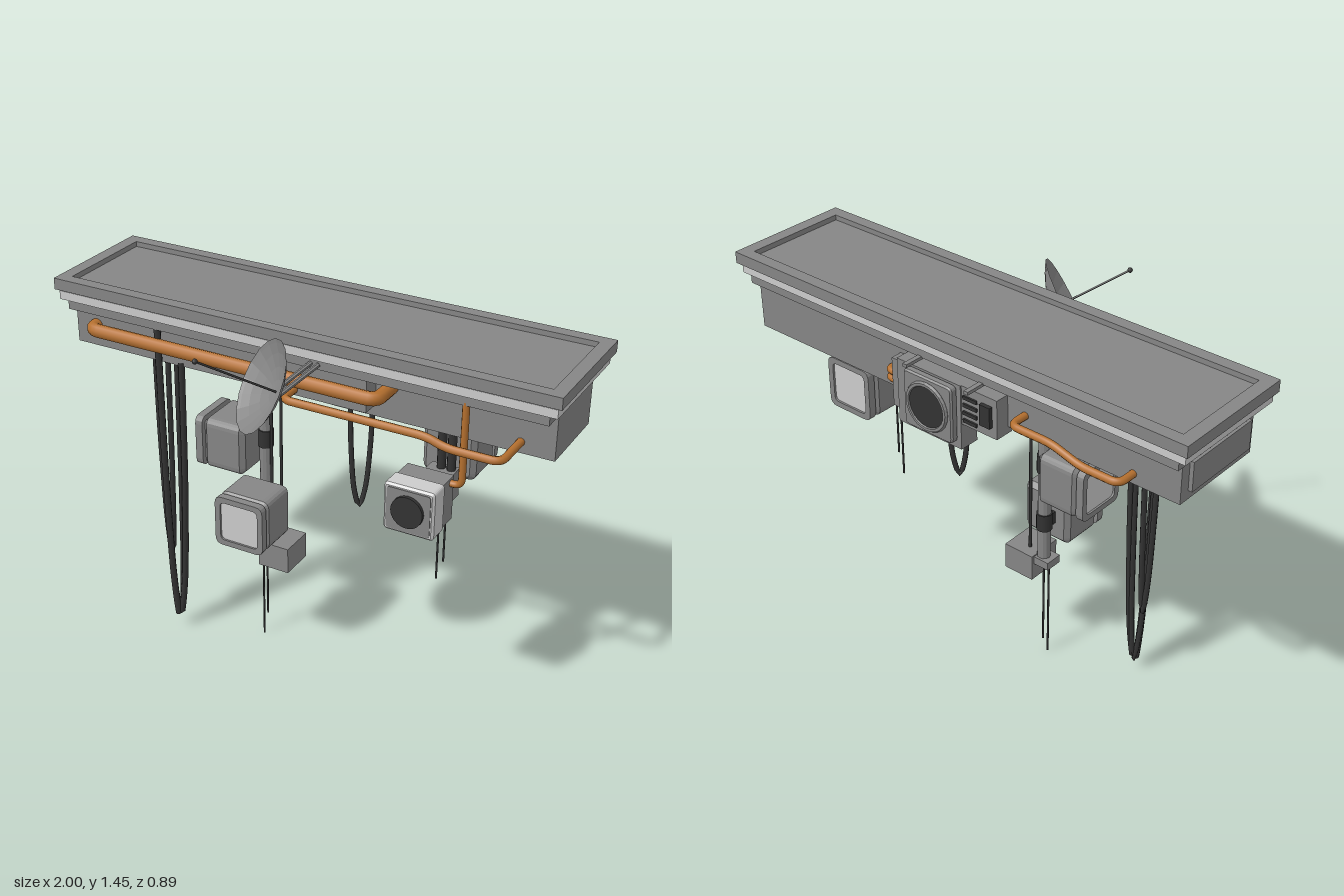
import * as THREE from 'three';

const mat = (color, flatShading = false, side = THREE.FrontSide) =>
  new THREE.MeshStandardMaterial({ color, flatShading, side });
const MID = mat(0x858585, true);
const LIGHT = mat(0xcccccc, true);
const DARK = mat(0x333333);
const COPPER = mat(0xb5702f);
const DISH = mat(0x858585, true, THREE.DoubleSide);
const V = (x, y, z) => new THREE.Vector3(x, y, z);

export function createModel() {
  const root = new THREE.Group();

  const add = (name, geometry, material = MID, parent = root) => {
    const m = new THREE.Mesh(geometry, material);
    m.name = name;
    parent.add(m);
    return m;
  };

  // Box given by its minimum and maximum on each axis
  const box = (name, x0, x1, y0, y1, z0, z1, material = MID, parent = root) => {
    const m = add(name, new THREE.BoxGeometry(x1 - x0, y1 - y0, z1 - z0), material, parent);
    m.position.set((x0 + x1) / 2, (y0 + y1) / 2, (z0 + z1) / 2);
    return m;
  };

  // Straight round bar between two points
  const rod = (name, a, b, r, material = DARK, sides = 8, parent = root) => {
    const m = add(name, new THREE.CylinderGeometry(r, r, a.distanceTo(b), sides), material, parent);
    m.position.copy(a).lerp(b, 0.5);
    m.quaternion.setFromUnitVectors(V(0, 1, 0), b.clone().sub(a).normalize());
    return m;
  };

  // Pipe along a polyline with rounded corners
  const pipe = (name, pts, r, bend) => {
    const path = new THREE.CurvePath();
    let from = pts[0];
    for (let i = 1; i < pts.length - 1; i++) {
      const p = pts[i];
      const toward = (q) => p.clone().add(
        q.clone().sub(p).setLength(Math.min(bend, q.distanceTo(p) * 0.49)));
      const a = toward(pts[i - 1]), b = toward(pts[i + 1]);
      path.add(new THREE.LineCurve3(from, a));
      path.add(new THREE.QuadraticBezierCurve3(a, p, b));
      from = b;
    }
    path.add(new THREE.LineCurve3(from, pts[pts.length - 1]));
    add(name, new THREE.TubeGeometry(path, 90, r, 10), COPPER);
  };

  // Hanging cable loop through a few points
  const cable = (name, pts, r) =>
    add(name, new THREE.TubeGeometry(new THREE.CatmullRomCurve3(pts), 48, r, 8), DARK);

  const roundedRect = (w, h, r, Type = THREE.Shape) => {
    const s = new Type(), x = w / 2, y = h / 2;
    s.moveTo(-x + r, -y);
    s.lineTo(x - r, -y); s.quadraticCurveTo(x, -y, x, -y + r);
    s.lineTo(x, y - r); s.quadraticCurveTo(x, y, x - r, y);
    s.lineTo(-x + r, y); s.quadraticCurveTo(-x, y, -x, y - r);
    s.lineTo(-x, -y + r); s.quadraticCurveTo(-x, -y, -x + r, -y);
    return s;
  };
  const extrude = (shape, depth, bevel = 0) => new THREE.ExtrudeGeometry(shape, {
    depth, curveSegments: 4, bevelEnabled: bevel > 0, bevelSize: bevel,
    bevelThickness: bevel, bevelOffset: -bevel, bevelSegments: 1 });

  // Slab: stepped cornice with a raised rim round a sunken top
  box('slabCore', -0.97, 0.97, 1.35, 1.41, -0.37, 0.09);
  const rim = roundedRect(2, 0.505, 0.001);
  rim.holes.push(roundedRect(1.9, 0.41, 0.001, THREE.Path));
  const rimMesh = add('slabRim', extrude(rim, 0.044));
  rimMesh.rotation.x = -Math.PI / 2;
  rimMesh.position.set(0, 1.386, -0.143);
  box('slabGap', -0.98, 0.98, 1.378, 1.388, -0.375, 0.095, DARK);
  box('slabBand', -0.985, 0.985, 1.347, 1.38, -0.38, 0.1, LIGHT);
  box('slabStep', -0.955, 0.955, 1.31, 1.347, -0.37, 0.09);
  box('leftEndStep', -0.965, -0.9, 1.2, 1.31, -0.3, 0.02);
  box('shallowBase', -0.95, 0.275, 1.167, 1.312, -0.34, 0.05);
  box('deepBase', 0.1, 0.945, 1.123, 1.312, -0.34, -0.025);

  // Copper pipes
  pipe('frontMainPipe', [V(-0.86, 1.25, 0.03), V(-0.86, 1.25, 0.093),
    V(0.335, 1.25, 0.093), V(0.335, 1.25, -0.03)], 0.026, 0.04);
  pipe('frontThinPipe', [V(-0.01, 1.19, 0.04), V(-0.01, 1.19, 0.14), V(0.55, 1.19, 0.14),
    V(0.62, 1.165, 0.14), V(0.82, 1.165, 0.14), V(0.82, 1.165, -0.03)], 0.015, 0.04);
  pipe('dropPipe', [V(0.66, 1.32, 0.078), V(0.66, 1.0, 0.078), V(0.6, 1.0, 0.078)], 0.013, 0.03);
  pipe('backPipe', [V(-0.33, 1.24, -0.33), V(-0.33, 1.24, -0.415), V(-0.5, 1.24, -0.415),
    V(-0.62, 1.205, -0.415), V(-0.77, 1.205, -0.415), V(-0.77, 1.205, -0.33)], 0.014, 0.035);
  for (const y of [1.17, 1.2])
    pipe('coolingPipe', [V(0.27, y, -0.33), V(0.27, y, -0.365), V(0.18, y, -0.365)], 0.013, 0.03);

  // Satellite dish, its feed arm and wall mount
  const axis = V(-0.63, 0.46, 0.62).normalize();
  const apex = V(0.03, 1.272, 0.243);
  const profile = [0, 0.25, 0.5, 0.75, 0.93, 1].map(
    (t) => new THREE.Vector2(0.172 * t, 0.06 * t * t));
  const dish = add('dish', new THREE.LatheGeometry(profile, 18), DISH);
  dish.position.copy(apex);
  dish.quaternion.setFromUnitVectors(V(0, 1, 0), axis);
  const tip = V(-0.168, 1.418, 0.434);
  rod('dishFeedArm', apex, tip, 0.004);
  add('dishFeed', new THREE.SphereGeometry(0.01, 8, 6), DARK).position.copy(tip);
  for (const s of [-0.015, 0.015])
    rod('dishMount', V(0.035 + s, 1.27, 0.235 + s), V(0.1 + s, 1.335, 0.085 + s), 0.009, MID);

  // Back cooling unit with round fan, side box and top brackets
  box('coolerCase', -0.1, 0.19, 1.04, 1.29, -0.4, -0.32);
  box('coolerSidePlate', 0.19, 0.23, 1.08, 1.27, -0.385, -0.32);
  const panel = add('fanPanel', extrude(roundedRect(0.22, 0.22, 0.02), 0.02, 0.006));
  panel.position.set(0.025, 1.175, -0.424);
  const ring = add('fanRing', new THREE.TorusGeometry(0.085, 0.01, 6, 24), MID);
  ring.position.set(0.025, 1.175, -0.432);
  rod('fan', V(0.025, 1.175, -0.42), V(0.025, 1.175, -0.436), 0.08, DARK, 24);
  box('coolerSideBox', -0.255, -0.1, 1.14, 1.29, -0.395, -0.32);
  box('sideBoxVent', -0.235, -0.19, 1.18, 1.26, -0.41, -0.39, DARK);
  for (let i = 0; i < 4; i++)
    box('ventSlat', -0.17, -0.11, 1.155 + i * 0.03, 1.168 + i * 0.03, -0.402, -0.39, DARK);
  for (const x of [-0.165, 0.11])
    box('coolerBracket', x - 0.009, x + 0.009, 1.303, 1.315, -0.445, -0.32);

  // Hanging monitor, screen toward its own +z
  const monitor = (name, position, turn) => {
    const g = new THREE.Group();
    g.name = name;
    g.position.copy(position);
    g.rotation.y = turn;
    const frame = roundedRect(0.205, 0.205, 0.03);
    frame.holes.push(roundedRect(0.16, 0.16, 0.02, THREE.Path));
    add('monitorFrame', extrude(frame, 0.03), MID, g).position.z = 0.075;
    add('monitorCase', extrude(roundedRect(0.205, 0.205, 0.03), 0.14, 0.018), MID, g)
      .position.z = -0.087 + 0.002;
    add('monitorScreen', extrude(roundedRect(0.162, 0.162, 0.02), 0.02), LIGHT, g).position.z = 0.077;
    root.add(g);
  };
  monitor('lowMonitor', V(-0.19, 0.625, 0.05), 0);
  monitor('sideMonitor', V(-0.34, 0.863, -0.065), -Math.PI / 2);
  monitor('backMonitor', V(0.52, 1.005, -0.22), Math.PI);

  // Pole with clamps, junction box and wires
  rod('monitorPole', V(-0.215, 1.17, -0.092), V(-0.215, 0.44, -0.092), 0.025, MID, 12);
  for (const y of [0.88, 0.63])
    rod('poleClamp', V(-0.215, y + 0.035, -0.092), V(-0.215, y - 0.035, -0.092), 0.03, DARK, 12);
  box('lowMonitorArm', -0.235, -0.195, 0.605, 0.655, -0.09, -0.03, DARK);
  box('poleFoot', -0.26, -0.19, 0.44, 0.472, -0.125, -0.055);
  box('junctionBox', -0.195, -0.067, 0.372, 0.477, -0.137, 0.005);
  for (const [x, z] of [[-0.178, -0.07], [-0.148, -0.09]])
    rod('feedWire', V(x, 1.17, z), V(x, 0.47, z), 0.006);
  rod('longWire', V(-0.218, 0.45, -0.066), V(-0.218, 0, -0.066), 0.004);
  rod('shortWire', V(-0.218, 0.45, -0.095), V(-0.218, 0.08, -0.095), 0.004);

  // Camera on its twin poles, with lens and trailing wires
  const head = add('cameraFront', extrude(roundedRect(0.19, 0.185, 0.015), 0.07, 0.008), LIGHT);
  head.position.set(0.532, 0.935, 0.144);
  box('cameraBody', 0.445, 0.62, 0.85, 1.02, 0.055, 0.14);
  add('cameraFace', extrude(roundedRect(0.165, 0.16, 0.012), 0.006)).position.set(0.532, 0.935, 0.219);
  rod('cameraLens', V(0.532, 0.938, 0.21), V(0.532, 0.938, 0.238), 0.06, DARK, 24);
  box('cameraBracket', 0.48, 0.585, 0.867, 0.975, -0.075, 0.056);
  for (const x of [0.525, 0.563])
    rod('cameraPole', V(x, 1.13, -0.05), V(x, 0.93, -0.05), 0.016, DARK, 10);
  rod('cameraWire', V(0.52, 0.9, -0.065), V(0.52, 0.5, -0.065), 0.004);
  rod('cameraWire', V(0.547, 0.9, -0.06), V(0.547, 0.585, -0.06), 0.004);

  // Hanging cable loops: top left, top right, bottom
  const loop = (x0, x1, xb, top0, top1, yb, z0, z1, r) => {
    const zb = (z0 + z1) / 2, mid = (a, b, t) => a + (b - a) * t;
    cable('hangingCable', [
      V(x0, top0, z0), V(mid(x0, xb, 0.2), mid(top0, yb, 0.5), z0),
      V(mid(x0, xb, 0.6), mid(top0, yb, 0.88), mid(z0, zb, 0.4)), V(xb, yb, zb),
      V(mid(x1, xb, 0.6), mid(top1, yb, 0.88), mid(z1, zb, 0.4)),
      V(mid(x1, xb, 0.2), mid(top1, yb, 0.5), z1), V(x1, top1, z1)], r);
  };
  loop(-0.57, -0.49, -0.538, 1.32, 1.18, 0.045, 0.075, 0.045, 0.013);
  loop(-0.585, -0.515, -0.54, 1.18, 1.18, 0.06, 0.06, 0.04, 0.01);
  loop(-0.612, -0.56, -0.58, 1.18, 1.18, 0.32, 0.035, 0.03, 0.011);
  loop(0.135, 0.205, 0.168, 1.18, 1.18, 0.68, -0.1, -0.145, 0.01);

  return root;
}
